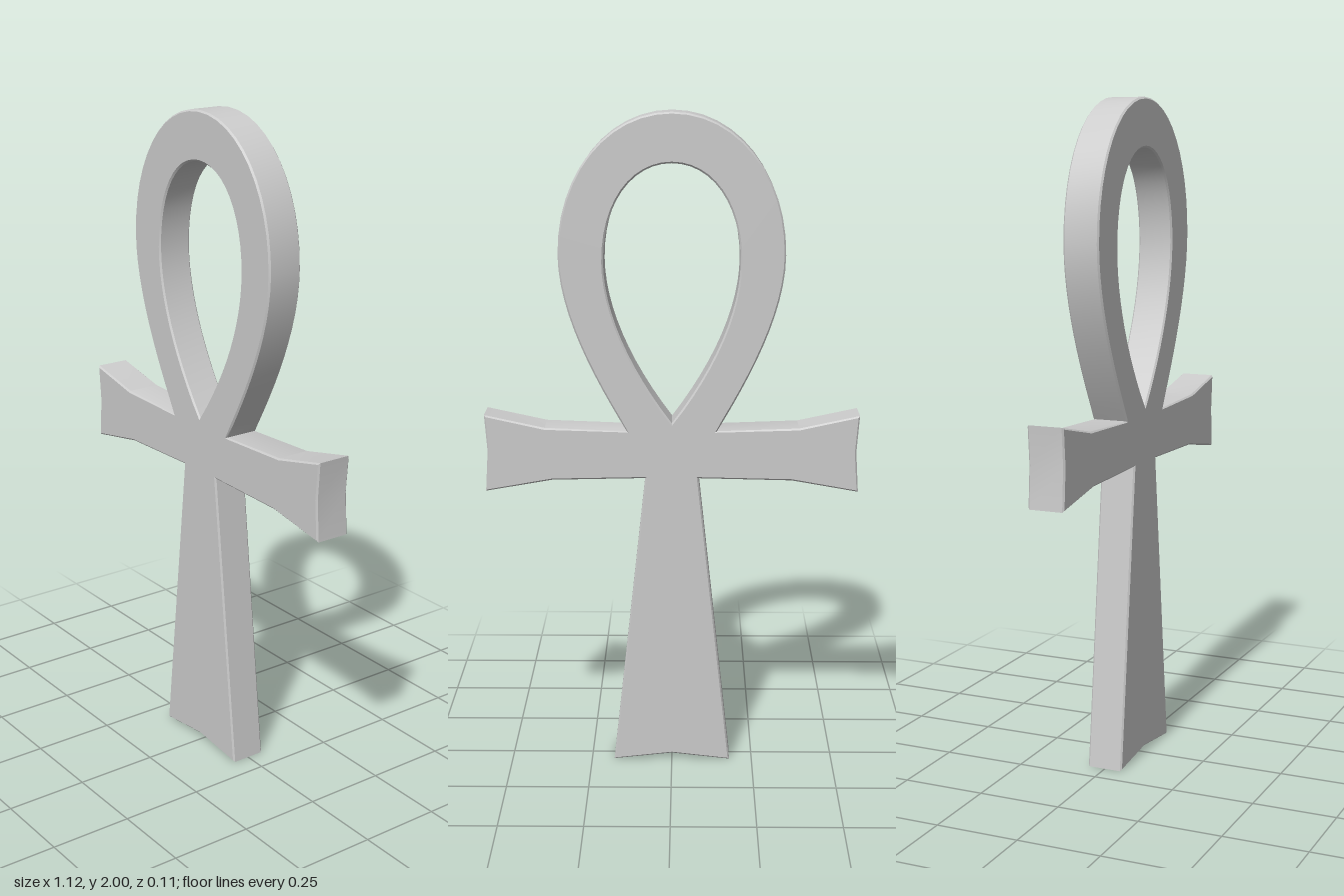
import * as THREE from 'three';
import { toCreasedNormals } from 'three/addons/utils/BufferGeometryUtils.js';

const DEPTH = 0.11;
const BEVEL = 0.005;

export function createModel() {
  const group = new THREE.Group();
  group.name = 'loopedCross';

  // Outline, counter-clockwise from the middle of the notched foot
  const shape = new THREE.Shape();
  shape.moveTo(0, 0.02);
  // right half: flared shaft, then flared arm with a concave end
  const half = [
    [0.18, 0], [0.08, 0.918], [0.36, 0.912], [0.56, 0.877],
    [0.552, 1.0], [0.56, 1.112], [0.38, 1.073], [0.135, 1.064],
  ];
  half.forEach(([x, y]) => shape.lineTo(x, y));
  // outer edge of the loop
  shape.bezierCurveTo(0.23, 1.225, 0.332, 1.42, 0.332, 1.59);
  shape.bezierCurveTo(0.332, 1.82, 0.19, 2, 0, 2);
  shape.bezierCurveTo(-0.19, 2, -0.332, 1.82, -0.332, 1.59);
  shape.bezierCurveTo(-0.332, 1.42, -0.23, 1.225, -0.135, 1.064);
  // mirrored left half
  half.slice(0, -1).reverse().forEach(([x, y]) => shape.lineTo(-x, y));
  shape.closePath();

  // Teardrop opening
  const hole = new THREE.Path();
  hole.moveTo(0, 1.088);
  hole.bezierCurveTo(-0.13, 1.26, -0.2, 1.43, -0.2, 1.57);
  hole.bezierCurveTo(-0.2, 1.74, -0.115, 1.855, 0, 1.855);
  hole.bezierCurveTo(0.115, 1.855, 0.2, 1.74, 0.2, 1.57);
  hole.bezierCurveTo(0.2, 1.43, 0.13, 1.26, 0, 1.088);
  shape.holes.push(hole);

  // One slab with finely broken edges
  const slab = new THREE.ExtrudeGeometry(shape, {
    depth: DEPTH - 2 * BEVEL,
    curveSegments: 12,
    bevelEnabled: true,
    bevelSize: BEVEL,
    bevelThickness: BEVEL,
    bevelOffset: -BEVEL,
    bevelSegments: 1,
  });
  slab.translate(0, 0, BEVEL - DEPTH / 2);

  const mesh = new THREE.Mesh(
    toCreasedNormals(slab, 0.6),
    new THREE.MeshStandardMaterial({ color: 0xcccccc })
  );
  mesh.name = 'crossBody';
  group.add(mesh);
  return group;
}
